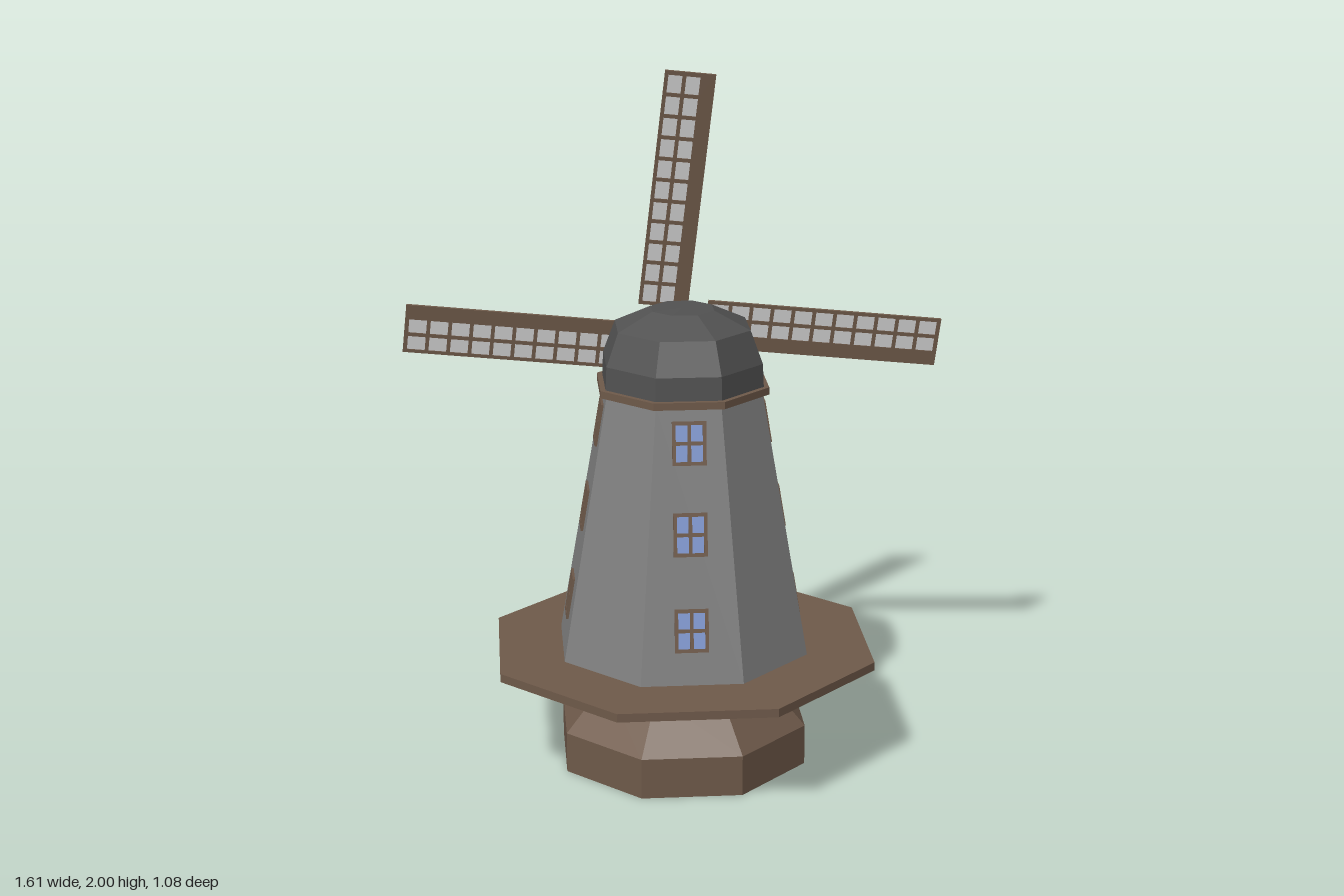
import * as THREE from 'three';

const flat = (name, color) => new THREE.MeshStandardMaterial({ name, color, flatShading: true, side: THREE.DoubleSide });

export function createModel() {
  const model = new THREE.Group();
  model.name = 'windmill';
  const wood = flat('brown wood', 0x6f5a4a);
  const stone = flat('grey stone', 0x808080);
  const roof = flat('dark roof', 0x525252);
  const glass = flat('blue glass', 0x829ad2);
  const canvas = flat('sail canvas', 0xd0d0d0);

  const add = (parent, name, geometry, material) => {
    const mesh = new THREE.Mesh(geometry, material);
    mesh.name = name;
    parent.add(mesh);
    return mesh;
  };

  // Octagonal shell; profile radii are measured to the flat sides
  const octagon = (name, profile, material) => {
    const points = profile.map(([r, y]) => new THREE.Vector2(r / Math.cos(Math.PI / 8), y));
    return add(model, name, new THREE.LatheGeometry(points, 8, Math.PI / 8), material);
  };

  // Flat lattice with rectangular openings
  const rect = (Type, x0, y0, x1, y1) => {
    const path = new Type();
    path.moveTo(x0, y0);
    path.lineTo(x1, y0);
    path.lineTo(x1, y1);
    path.lineTo(x0, y1);
    path.closePath();
    return path;
  };
  const lattice = (outer, inner, cols, rows, bar, depth) => {
    const shape = rect(THREE.Shape, ...outer);
    const [x0, y0, x1, y1] = inner;
    const w = (x1 - x0 + bar) / cols, h = (y1 - y0 + bar) / rows;
    for (let i = 0; i < cols; i++) {
      for (let j = 0; j < rows; j++) {
        const x = x0 + i * w, y = y0 + j * h;
        shape.holes.push(rect(THREE.Path, x, y, x + w - bar, y + h - bar));
      }
    }
    return new THREE.ExtrudeGeometry(shape, { depth, bevelEnabled: false });
  };

  // Hollow base, gallery ring, tower, collar and domed cap
  octagon('base', [[0.35, 0], [0.35, 0.12], [0.23, 0.26], [0.23, 0.32]], wood);
  octagon('gallery', [[0.23, 0.32], [0.54, 0.32], [0.54, 0.345], [0.23, 0.345], [0.23, 0.32]], wood);
  octagon('tower', [[0.353, 0.345], [0.222, 1.125]], stone);
  octagon('collar', [[0.2, 1.122], [0.24, 1.122], [0.24, 1.143], [0.2, 1.143]], wood);
  octagon('cap', [[0.225, 1.143], [0.222, 1.21], [0.188, 1.305], [0.088, 1.355], [0, 1.357]], roof);

  // Three windows on each of four walls, leaning with the wall
  const slope = (0.353 - 0.222) / (1.125 - 0.345);
  const windowFrame = lattice([-0.048, -0.062, 0.048, 0.062], [-0.038, -0.052, 0.038, 0.052], 2, 2, 0.01, 0.007);
  const windowPane = new THREE.BoxGeometry(0.09, 0.116, 0.006);
  for (let side = 0; side < 4; side++) {
    const wall = new THREE.Group();
    wall.name = 'wallWindows';
    wall.rotation.y = side * Math.PI / 2;
    model.add(wall);
    for (const y of [0.5, 0.77, 1.025]) {
      const win = new THREE.Group();
      win.name = 'window';
      win.position.set(0, y, 0.353 - (y - 0.345) * slope);
      win.rotation.x = -Math.atan(slope);
      wall.add(win);
      add(win, 'windowFrame', windowFrame, wood);
      add(win, 'windowPane', windowPane, glass);
    }
  }

  // Sail wheel behind the cap, tilted back
  const sails = new THREE.Group();
  sails.name = 'sails';
  sails.position.set(0, 1.2, -0.297);
  sails.rotation.set(0.097, 0.012, 0);
  model.add(sails);

  const axle = add(sails, 'axle', new THREE.CylinderGeometry(0.036, 0.036, 0.1, 8), roof);
  axle.rotation.x = Math.PI / 2;
  axle.position.z = 0.06;
  const hub = add(sails, 'hub', new THREE.CylinderGeometry(0.04, 0.04, 0.024, 8), wood);
  hub.rotation.x = Math.PI / 2;

  const sailFrame = lattice([-0.117, 0.09, 0.03, 0.797], [-0.107, 0.1, -0.014, 0.785], 2, 11, 0.011, 0.01);
  sailFrame.translate(0, 0, -0.005);
  for (let i = 0; i < 4; i++) {
    const sail = new THREE.Group();
    sail.name = 'sail';
    sail.rotation.z = -0.108 + i * Math.PI / 2;
    sails.add(sail);
    add(sail, 'sailFrame', sailFrame, wood);
    add(sail, 'sailCloth', new THREE.BoxGeometry(0.11, 0.7, 0.004), canvas).position.set(-0.06, 0.443, 0);
    add(sail, 'spoke', new THREE.BoxGeometry(0.03, 0.1, 0.01), wood).position.set(0.01, 0.05, 0);
  }
  return model;
}
